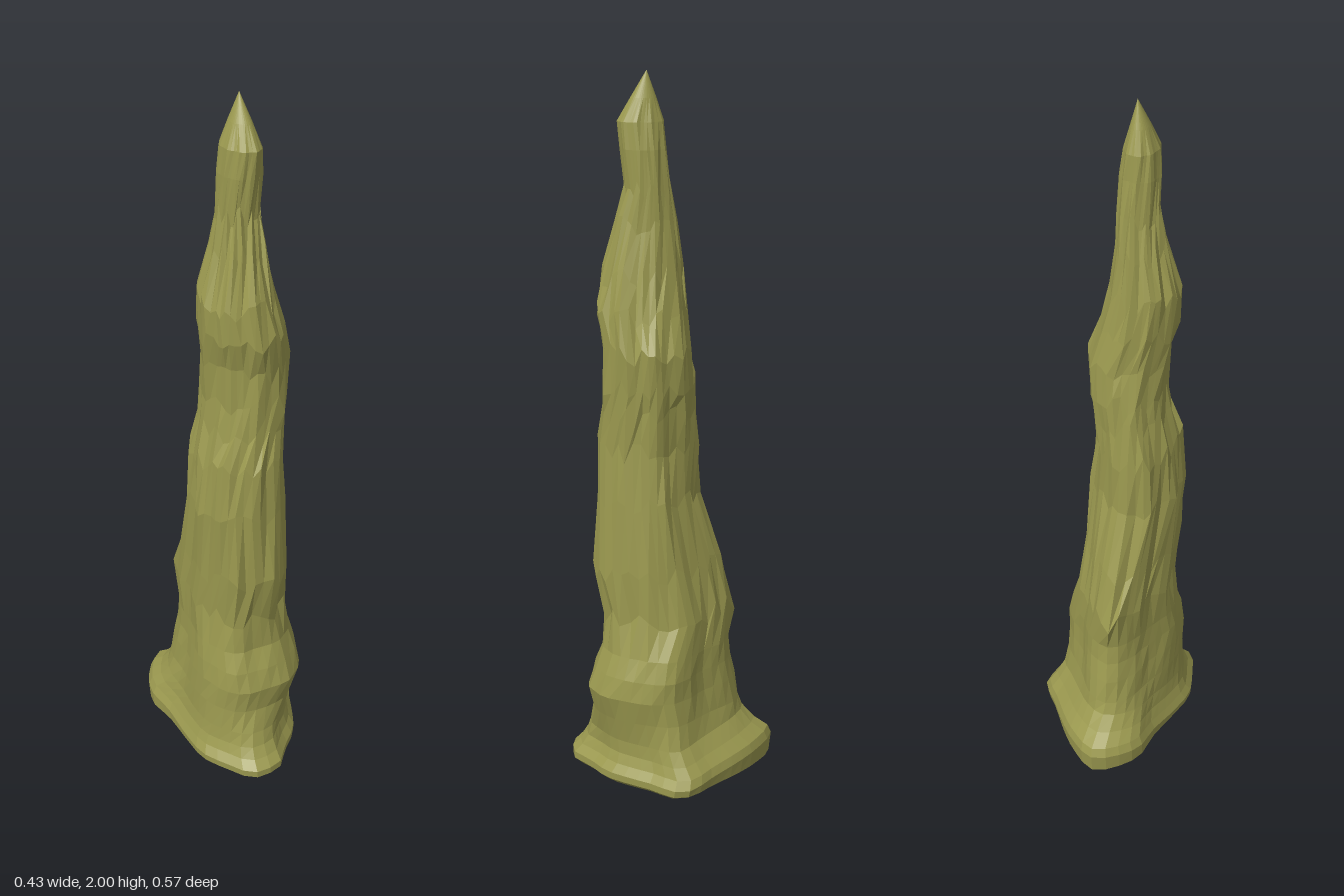
import * as THREE from 'three';

// Foot outline (x, z), running round from the back
const FOOT = [[-0.03, -0.285], [0.05, -0.225], [0.1, -0.165], [0.16, -0.075], [0.21, -0.005], [0.21, 0.04],
  [0.15, 0.1], [0.1, 0.16], [0.05, 0.21], [-0.03, 0.25], [-0.08, 0.283], [-0.135, 0.28], [-0.175, 0.26],
  [-0.2, 0.18], [-0.215, 0.1], [-0.19, 0], [-0.16, -0.1], [-0.145, -0.19], [-0.09, -0.255]];

// Outline of the lower shaft, just above the foot
const SHAFT = [[-0.04, -0.185], [0.01, -0.17], [0.07, -0.08], [0.14, 0.01], [0.15, 0.04], [0.105, 0.155],
  [0.055, 0.21], [0, 0.24], [-0.05, 0.235], [-0.1, 0.22], [-0.155, 0.19], [-0.18, 0.12], [-0.17, 0.03],
  [-0.125, -0.07], [-0.09, -0.155]];

// Height, x range and z range of each cross-section
const ROWS = [
  [0.03, -0.185, 0.185, -0.25, 0.26],
  [0.045, -0.212, 0.21, -0.28, 0.284],
  [0.065, -0.214, 0.214, -0.286, 0.284],
  [0.09, -0.2, 0.2, -0.275, 0.262],
  [0.12, -0.19, 0.18, -0.235, 0.245],
  [0.16, -0.185, 0.16, -0.2, 0.237],
  [0.23, -0.18, 0.147, -0.187, 0.235],
  [0.3, -0.18, 0.15, -0.175, 0.25],
  [0.36, -0.175, 0.15, -0.16, 0.23],
  [0.42, -0.165, 0.137, -0.155, 0.208],
  [0.52, -0.16, 0.11, -0.17, 0.205],
  [0.65, -0.165, 0.097, -0.135, 0.225],
  [0.85, -0.175, 0.083, -0.075, 0.215],
  [1.0, -0.162, 0.068, -0.07, 0.21],
  [1.1, -0.137, 0.075, -0.06, 0.2],
  [1.18, -0.13, 0.086, -0.055, 0.197],
  [1.27, -0.133, 0.09, -0.042, 0.195],
  [1.37, -0.15, 0.055, -0.038, 0.208],
  [1.47, -0.153, 0.03, -0.03, 0.19],
  [1.6, -0.114, 0.012, -0.01, 0.155],
  [1.7, -0.1, 0.01, 0.01, 0.13],
  [1.8, -0.1, 0.006, 0.018, 0.14],
  [1.87, -0.093, -0.004, 0.023, 0.146],
  [1.93, -0.07, -0.02, 0.044, 0.112],
];
const SIDES = 36;

// Repeatable value from 0 to 1 for a pair of indices
function hash(a, b) {
  const s = Math.sin(a * 127.1 + b * 311.7) * 43758.5453;
  return s - Math.floor(s);
}

// Evenly spaced points of a closed outline, scaled to run from -1 to 1 both ways
function unitOutline(points) {
  const curve = new THREE.CatmullRomCurve3(points.map(([x, z]) => new THREE.Vector3(x, 0, z)), true);
  const ring = curve.getSpacedPoints(SIDES).slice(0, SIDES);
  const box = new THREE.Box3().setFromPoints(ring);
  const mid = box.getCenter(new THREE.Vector3()), size = box.getSize(new THREE.Vector3());
  return ring.map((p) => new THREE.Vector2((p.x - mid.x) / size.x, (p.z - mid.z) / size.z).multiplyScalar(2));
}

// Stacked cross-sections closed by a pointed tip and a shallow underside
function spikeGeometry() {
  const foot = unitOutline(FOOT), shaft = unitOutline(SHAFT);
  const pos = [], index = [];

  ROWS.forEach(([y, x0, x1, z0, z1], r) => {
    const rough = y < 0.25 || y > 1.9 ? 0 : y < 0.5 ? 0.06 : 0.14;
    // The section changes from the foot to the shaft outline, then becomes round
    const toShaft = THREE.MathUtils.smoothstep(y, 0.09, 0.28);
    const toRound = THREE.MathUtils.clamp((y - 0.36) / 0.9, 0, 1);
    for (let i = 0; i < SIDES; i++) {
      const p = foot[i].clone().lerp(shaft[i], toShaft);
      p.lerp(p.clone().normalize(), toRound);
      // The back lip of the foot is thicker and sits higher
      const lift = y < 0.2 && r > 1 ? 0.035 * Math.max(0, -p.y) : 0;
      // Long grooves drift slowly round the shaft, with small chips on top
      const groove = 0.5 + 0.5 * Math.sin(p.angle() * 9 + Math.sin(y * 4) * 1.5);
      p.multiplyScalar(1 + rough * (0.35 - 0.45 * groove - 0.55 * hash(i, r)));
      const chip = rough > 0.1 && y < 1.8 ? (hash(i + 50, r) - 0.5) * 0.06 : 0;
      pos.push((x0 + x1) / 2 + p.x * (x1 - x0) / 2, y + lift + chip, (z0 + z1) / 2 + p.y * (z1 - z0) / 2);
    }
  });

  for (let r = 0; r < ROWS.length - 1; r++) {
    for (let i = 0; i < SIDES; i++) {
      const j = (i + 1) % SIDES;
      const a = r * SIDES + i, b = r * SIDES + j, c = a + SIDES, d = b + SIDES;
      index.push(a, c, b, b, c, d);
    }
  }

  const tip = pos.length / 3, base = tip + 1, top = (ROWS.length - 1) * SIDES;
  pos.push(-0.04, 2, 0.07, -0.07, 0, 0.13);
  for (let i = 0; i < SIDES; i++) {
    const j = (i + 1) % SIDES;
    index.push(top + i, tip, top + j, i, j, base);
  }

  const g = new THREE.BufferGeometry();
  g.setAttribute('position', new THREE.Float32BufferAttribute(pos, 3));
  g.setIndex(index);
  g.computeVertexNormals();
  return g;
}

export function createModel() {
  const group = new THREE.Group();
  group.name = 'stoneSpike';
  const stone = new THREE.MeshStandardMaterial({ color: 0x9c9a50, flatShading: true });
  stone.name = 'olive stone';
  const spike = new THREE.Mesh(spikeGeometry(), stone);
  spike.name = 'spike';
  group.add(spike);
  return group;
}
